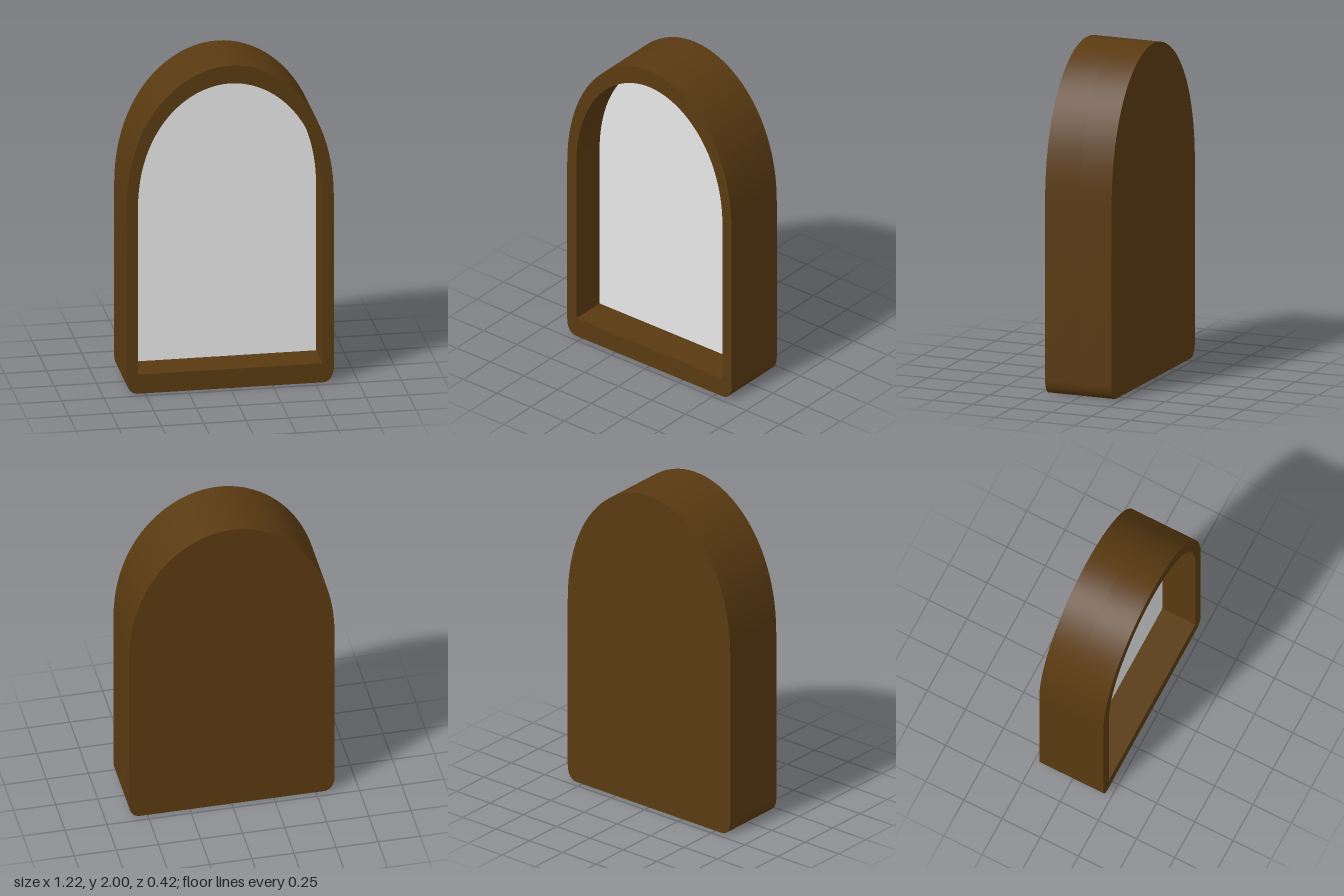
import * as THREE from 'three';
import { toCreasedNormals } from 'three/addons/utils/BufferGeometryUtils.js';

const HALF_DEPTH = 0.21;
const RECESS_Z = -0.01; // floor of the front recess
const SPRING = 1.15; // height where the arch begins

// Arched outline; rx and ry round the bottom corners
function archOutline(path, halfWidth, bottom, top, rx = 0, ry = 0) {
  const rise = top - SPRING;
  const c1 = SPRING + rise * 0.64;
  const c2 = halfWidth * 0.49;
  path.moveTo(-halfWidth + rx, bottom);
  path.lineTo(halfWidth - rx, bottom);
  if (rx) path.bezierCurveTo(halfWidth - rx * 0.4, bottom, halfWidth, bottom + ry * 0.4, halfWidth, bottom + ry);
  path.lineTo(halfWidth, SPRING);
  path.bezierCurveTo(halfWidth, c1, c2, top, 0, top);
  path.bezierCurveTo(-c2, top, -halfWidth, c1, -halfWidth, SPRING);
  path.lineTo(-halfWidth, bottom + ry);
  if (rx) path.bezierCurveTo(-halfWidth, bottom + ry * 0.4, -halfWidth + rx * 0.4, bottom, -halfWidth + rx, bottom);
  return path;
}

const outer = () => archOutline(new THREE.Shape(), 0.61, 0, 2, 0.065, 0.09);
const inner = (path) => archOutline(path, 0.543, 0.118, 1.89);

// Extrude a shape between two depths, smooth along the curves
function slab(shape, z0, z1) {
  const geometry = new THREE.ExtrudeGeometry(shape, { depth: z1 - z0, bevelEnabled: false, curveSegments: 24 });
  geometry.translate(0, 0, z0);
  return toCreasedNormals(geometry, 0.6);
}

export function createModel() {
  const group = new THREE.Group();
  const wood = new THREE.MeshStandardMaterial({ name: 'darkWood', color: 0x593a11 });
  const pale = new THREE.MeshStandardMaterial({ name: 'paleGrey', color: 0xe7e7e7 });

  const add = (name, geometry, material) => {
    const mesh = new THREE.Mesh(geometry, material);
    mesh.name = name;
    group.add(mesh);
  };

  // Solid rear half
  add('backBody', slab(outer(), -HALF_DEPTH, RECESS_Z), wood);

  // Raised rim around the recess
  const rim = outer();
  rim.holes.push(inner(new THREE.Path()));
  add('frontFrame', slab(rim, RECESS_Z, HALF_DEPTH), wood);

  // Pale pane on the recess floor
  const pane = new THREE.ShapeGeometry(inner(new THREE.Shape()), 24);
  pane.translate(0, 0, RECESS_Z + 0.004);
  add('pane', pane, pale);

  return group;
}
